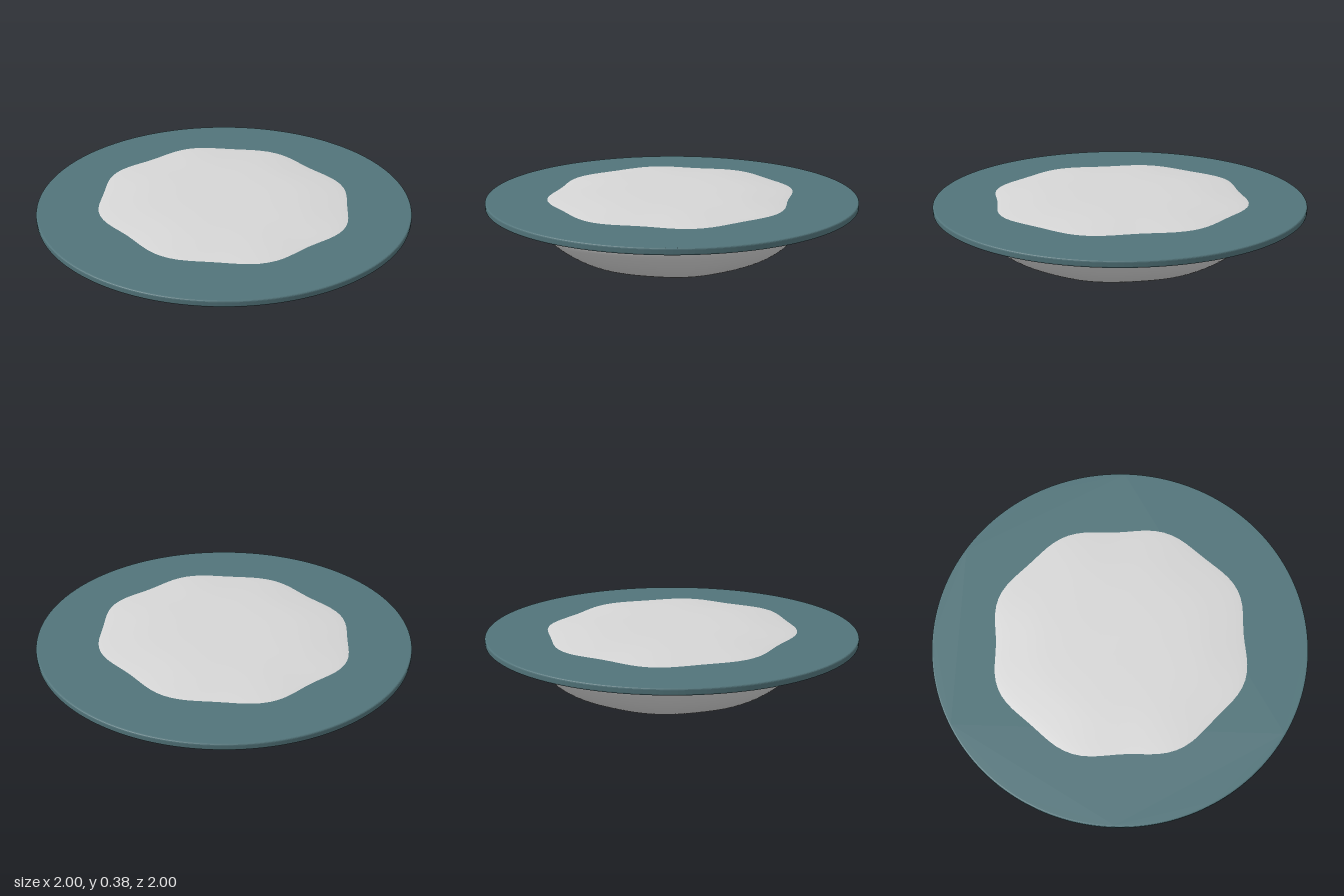
import * as THREE from 'three';

// Smooth pebble-like body: rings follow a side profile and a softly eight-sided outline
function pebbleGeometry() {
  // [scale across x, height, strength of the eight-sided outline]
  const profile = new THREE.CatmullRomCurve3([
    [0, 0, 0.3], [0.25, 0.002, 0.3], [0.4, 0.018, 0.3], [0.55, 0.067, 0.3],
    [0.65, 0.135, 0.3], [0.715, 0.215, 0.3], [0.73, 0.26, 0.35], [0.715, 0.305, 0.6],
    [0.635, 0.345, 1], [0.5, 0.361, 0.9], [0.3, 0.372, 0.5], [0, 0.375, 0.3],
  ].map((p) => new THREE.Vector3(...p)), false, 'centripetal');
  const rings = profile.getPoints(66);
  const segments = 96;
  const positions = [];
  const indices = [];
  rings.forEach((ring, i) => {
    for (let j = 0; j < segments; j++) {
      const a = (j / segments) * Math.PI * 2;
      const bulge = 0.025 * (1 - Math.cos(8 * a)) + 0.025 * Math.sin(2 * a) ** 2;
      const r = Math.max(ring.x, 0) * (1 + bulge * ring.z);
      positions.push(r * Math.cos(a), ring.y, r * 1.048 * Math.sin(a));
      if (i === rings.length - 1) continue;
      const k = i * segments + j;
      const n = i * segments + ((j + 1) % segments);
      indices.push(k, k + segments, n, n, k + segments, n + segments);
    }
  });
  const geometry = new THREE.BufferGeometry();
  geometry.setAttribute('position', new THREE.Float32BufferAttribute(positions, 3));
  geometry.setIndex(indices);
  geometry.computeVertexNormals();
  return geometry;
}

// Thin round plate with a small rounded rim
function discGeometry() {
  const bottom = 0.311, top = 0.346, bevel = 0.008;
  const shape = new THREE.Shape();
  shape.absarc(0, 0, 1 - bevel, 0, Math.PI * 2);
  const geometry = new THREE.ExtrudeGeometry(shape, {
    depth: top - bottom - 2 * bevel, bevelThickness: bevel, bevelSize: bevel,
    bevelSegments: 3, curveSegments: 96,
  });
  geometry.rotateX(-Math.PI / 2);
  geometry.translate(0, bottom + bevel, 0);
  return geometry;
}

export function createModel() {
  const paleGrey = new THREE.MeshStandardMaterial({ color: 0xd6d6d6 });
  paleGrey.name = 'pale grey';
  const teal = new THREE.MeshStandardMaterial({ color: 0x52747a });
  teal.name = 'slate teal';

  const model = new THREE.Group();
  model.name = 'discWithBody';

  const body = new THREE.Mesh(pebbleGeometry(), paleGrey);
  body.name = 'body';
  const disc = new THREE.Mesh(discGeometry(), teal);
  disc.name = 'disc';
  model.add(body, disc);
  return model;
}
